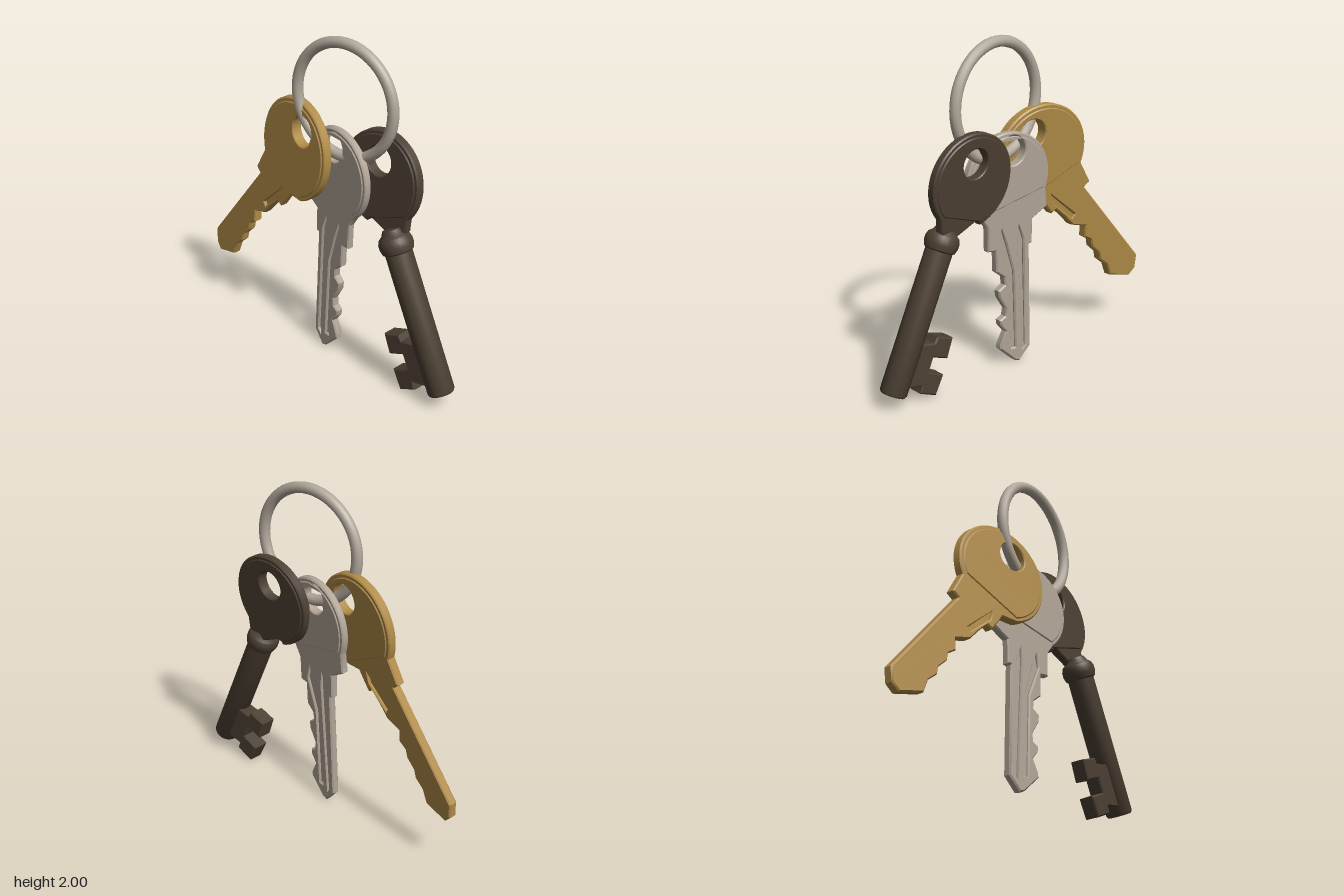
import * as THREE from 'three';
import { toCreasedNormals } from 'three/addons/utils/BufferGeometryUtils.js';

const mat = (name, color) => new THREE.MeshStandardMaterial({ name, color });

// Extrudes a shape centred on z = 0, keeping the outline size despite the bevel
function plate(shape, depth, bevel = 0.008) {
  const g = new THREE.ExtrudeGeometry(shape, {
    depth: depth - 2 * bevel, bevelEnabled: bevel > 0, bevelThickness: bevel, bevelSize: bevel,
    bevelOffset: -bevel, bevelSegments: 1, curveSegments: 28,
  });
  return g.translate(0, 0, -depth / 2 + bevel);
}

// Leans a plate so that its middle follows z = a + b(x - x0) + c(y - y0)
function lean(g, [x0, y0], [a, b, c]) {
  const p = g.attributes.position;
  for (let i = 0; i < p.count; i++) {
    p.setZ(i, p.getZ(i) + a + b * (p.getX(i) - x0) + c * (p.getY(i) - y0));
  }
  g.computeVertexNormals();
  return toCreasedNormals(g, 0.5);
}

const polygon = (pts) => new THREE.Shape(pts.map(([x, y]) => new THREE.Vector2(x, y)));

// Round bow outline, optionally continued by the blade points
function bowShape(k, scale, pts = []) {
  const s = new THREE.Shape();
  s.absarc(k.centre[0], k.centre[1], k.radius * scale, k.arc[0], k.arc[1], false);
  pts.forEach(([x, y]) => s.lineTo(x, y));
  s.closePath();
  const hole = new THREE.Path();
  hole.absarc(k.hole[0], k.hole[1], k.hole[2], 0, Math.PI * 2, true);
  s.holes.push(hole);
  return s;
}

function makeKey(name, k, material) {
  const key = new THREE.Group();
  key.name = name;
  const add = (part, shape, depth, bevel) => {
    const m = new THREE.Mesh(lean(plate(shape, depth, bevel), k.centre, k.plane), material);
    m.name = part;
    key.add(m);
  };
  // Bow and blade in one piece, with the grooves cut out
  const body = bowShape(k, 1, k.outline);
  (k.grooves || []).forEach((pts) => body.holes.push(polygon(pts)));
  add('bowAndBlade', body, k.depth);
  // Slightly raised face on the bow
  add('bowFace', bowShape(k, 0.92), k.depth + 0.012, 0.006);
  // Thin floors inside the grooves
  (k.grooves || []).forEach((pts) => add('grooveFloor', polygon(pts), k.depth * 0.4, 0));
  return key;
}

const GOLD_KEY = {
  centre: [-0.21, 1.25], radius: 0.305, arc: [-1.28, 3.48], hole: [-0.13, 1.385, 0.09],
  plane: [0.025, 0.16, -0.08], depth: 0.06,
  outline: [
    [-0.574, 1.016], [-0.537, 0.984], [-0.995, 0.436], [-0.99, 0.346], [-0.947, 0.303],
    [-0.793, 0.34], [-0.761, 0.42], [-0.702, 0.468], [-0.691, 0.516], [-0.633, 0.569],
    [-0.622, 0.617], [-0.569, 0.649], [-0.569, 0.723], [-0.468, 0.75], [-0.404, 0.819],
    [-0.34, 0.878], [-0.309, 0.856], [-0.255, 0.926], [-0.229, 0.963],
  ],
  grooves: [
    [[-0.378, 1.021], [-0.468, 0.941], [-0.979, 0.404], [-0.963, 0.372], [-0.394, 0.979]],
    [[-0.298, 0.979], [-0.479, 0.819], [-0.463, 0.798], [-0.319, 0.915]],
  ],
};

const SILVER_KEY = {
  centre: [0.085, 1.17], radius: 0.277, arc: [-0.87, 3.5], hole: [0.065, 1.335, 0.088],
  plane: [-0.015, 0.15, -0.02], depth: 0.05,
  outline: [
    [-0.186, 0.957], [-0.085, 0.899], [-0.085, 0.75], [-0.064, 0.745], [-0.085, 0.085],
    [-0.011, 0.002], [0.021, 0.011], [0.128, 0.112], [0.128, 0.138], [0.09, 0.218],
    [0.128, 0.266], [0.133, 0.298], [0.096, 0.319], [0.09, 0.367], [0.138, 0.447],
    [0.144, 0.489], [0.101, 0.521], [0.106, 0.569], [0.16, 0.612], [0.165, 0.745],
    [0.218, 0.75], [0.223, 0.899],
  ],
  grooves: [
    [[0.011, 0.878], [-0.021, 0.787], [-0.048, 0.1], [-0.027, 0.075], [0.016, 0.787]],
    [[0.128, 0.872], [0.096, 0.777], [0.043, 0.596], [0.021, 0.1], [0.048, 0.1],
      [0.069, 0.596], [0.144, 0.787]],
  ],
};

const DARK_KEY = {
  centre: [0.39, 1.23], radius: 0.282, arc: [-0.68, 4.46], hole: [0.38, 1.335, 0.087],
  plane: [-0.058, 0, -0.09], depth: 0.055,
  outline: [[0.34, 0.99], [0.463, 0.936], [0.54, 0.9], [0.606, 0.979]],
};

// Outline of the toothed bit on the old key
const BIT = [
  [0.8, 0.36], [0.654, 0.33], [0.633, 0.362], [0.521, 0.324], [0.564, 0.207], [0.665, 0.245],
  [0.702, 0.165], [0.596, 0.117], [0.654, 0.005], [0.766, 0.053], [0.75, 0.096], [0.88, 0.12],
];

function turned(name, profile, material) {
  const g = new THREE.LatheGeometry(profile.map(([x, y]) => new THREE.Vector2(x, y)), 24);
  const m = new THREE.Mesh(toCreasedNormals(g, 0.6), material);
  m.name = name;
  return m;
}

export function createModel() {
  const gold = mat('gold', 0xb08b47);
  const silver = mat('silver', 0xb0a496);
  const steel = mat('ringSteel', 0xb2a89b);
  const iron = mat('darkIron', 0x4c4033);
  const bore = mat('paleBore', 0xc0a684);

  const model = new THREE.Group();
  model.name = 'keyRing';

  // Split ring through all three bows
  const ring = new THREE.Mesh(new THREE.TorusGeometry(0.334, 0.033, 12, 56), steel);
  ring.name = 'ring';
  ring.position.set(0.143, 1.633, -0.003);
  ring.rotation.y = 0.11;
  model.add(ring);

  model.add(makeKey('goldKey', GOLD_KEY, gold));
  model.add(makeKey('silverKey', SILVER_KEY, silver));

  // Old barrel key: flat bow, turned shank, toothed bit
  const darkKey = makeKey('darkKey', DARK_KEY, iron);
  const shank = new THREE.Group();
  shank.name = 'shank';
  shank.position.set(0.553, 0.9, 0);
  shank.rotation.z = 0.43;
  shank.add(
    turned('barrel', [
      [0.058, -0.895], [0.07, -0.895], [0.079, -0.88], [0.079, 0],
    ], iron),
    turned('collar', [
      [0.075, -0.055], [0.09, -0.045], [0.099, -0.015], [0.099, 0.015], [0.09, 0.04],
      [0.07, 0.055], [0.055, 0.085], [0, 0.09],
    ], iron),
    turned('bore', [[0, -0.8], [0.058, -0.8], [0.058, -0.895]], bore),
  );
  darkKey.add(shank);
  const bit = new THREE.Mesh(plate(polygon(BIT), 0.1, 0.008), iron);
  bit.name = 'bit';
  darkKey.add(bit);
  model.add(darkKey);

  return model;
}
